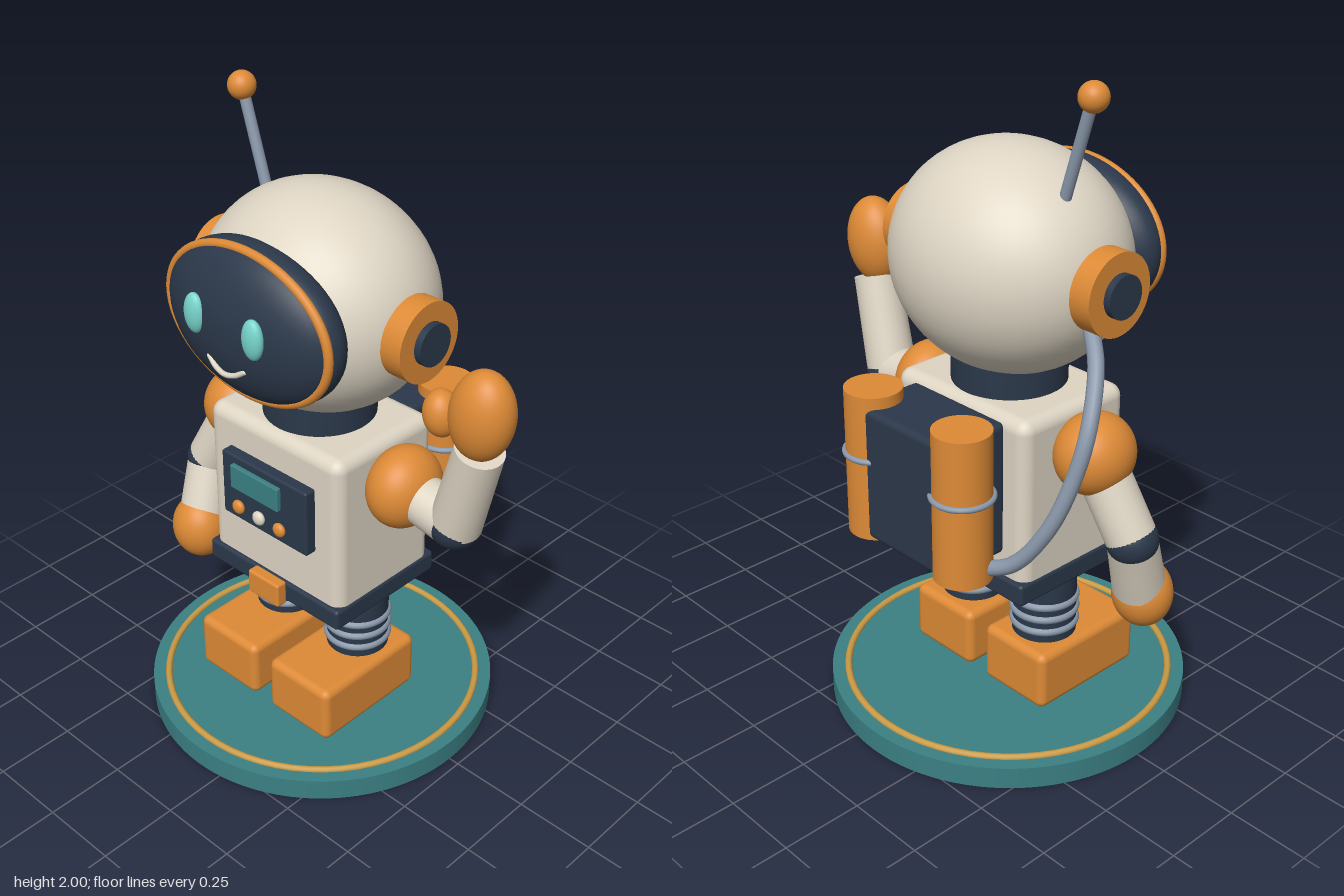
import * as THREE from 'three';
import { RoundedBoxGeometry } from 'three/addons/geometries/RoundedBoxGeometry.js';

const V = (x, y, z) => new THREE.Vector3(x, y, z);
const paint = (name, color) => {
  const m = new THREE.MeshStandardMaterial({ color });
  m.name = name;
  return m;
};

export function createModel() {
  const cream = paint('cream shell', 0xded5c4);
  const orange = paint('orange', 0xdd8a36);
  const navy = paint('dark navy', 0x2b384a);
  const teal = paint('teal', 0x3b8084);
  const steel = paint('blue grey metal', 0x8a98aa);
  const glow = paint('aqua glow', 0x76d3ca);
  const gold = paint('gold', 0xc99a45);

  const root = new THREE.Group();
  root.name = 'robot';
  const CX = -0.09; // the robot's own middle

  const add = (name, geo, mat, x = 0, y = 0, z = 0) => {
    const m = new THREE.Mesh(geo, mat);
    m.name = name;
    m.position.set(x, y, z);
    root.add(m);
    return m;
  };
  const box = (name, mat, w, h, d, r, x, y, z) =>
    add(name, new RoundedBoxGeometry(w, h, d, 4, r), mat, x, y, z);
  const ball = (name, mat, rx, ry, rz, x, y, z) => {
    const m = add(name, new THREE.SphereGeometry(1, 48, 32), mat, x, y, z);
    m.scale.set(rx, ry, rz);
    return m;
  };
  const cyl = (name, mat, r, h, x, y, z) =>
    add(name, new THREE.CylinderGeometry(r, r, h, 48), mat, x, y, z);
  const hoop = (name, mat, R, r, x, y, z) => {
    const m = add(name, new THREE.TorusGeometry(R, r, 12, 64), mat, x, y, z);
    m.rotation.x = Math.PI / 2;
    return m;
  };
  // cylinder between two points
  const limb = (name, mat, a, b, ra, rb = ra) => {
    const dir = b.clone().sub(a);
    const m = add(name, new THREE.CylinderGeometry(rb, ra, dir.length(), 32), mat);
    m.position.copy(a).add(b).multiplyScalar(0.5);
    m.quaternion.setFromUnitVectors(V(0, 1, 0), dir.normalize());
    return m;
  };
  const tube = (name, mat, pts, r, closed = false) =>
    add(name, new THREE.TubeGeometry(new THREE.CatmullRomCurve3(pts, closed), 96, r, 12, closed), mat);

  // Stand
  add('standDisc', new THREE.CylinderGeometry(0.556, 0.556, 0.07, 96), teal, CX, 0.035, 0);
  hoop('standRing', gold, 0.506, 0.011, CX, 0.071, 0);

  // Feet and ribbed legs
  for (const s of [-1, 1]) {
    const x = CX + s * 0.158;
    box('foot', orange, 0.254, 0.19, 0.41, 0.025, x, 0.171, 0.07);
    cyl('leg', navy, 0.098, 0.24, x, 0.36, 0);
    for (const y of [0.302, 0.345, 0.388]) hoop('legRing', steel, 0.094, 0.013, x, y, 0);
  }

  // Torso, belt and neck
  box('torso', cream, 0.545, 0.598, 0.412, 0.04, CX, 0.759, 0);
  box('belt', navy, 0.556, 0.07, 0.438, 0.012, CX, 0.515, 0);
  box('buckle', orange, 0.13, 0.082, 0.04, 0.008, CX, 0.517, 0.238);
  cyl('neck', navy, 0.172, 0.16, CX, 1.115, 0);

  // Chest panel
  box('chestPanel', navy, 0.355, 0.222, 0.05, 0.008, CX, 0.83, 0.218);
  box('chestScreen', teal, 0.2, 0.08, 0.02, 0.004, -0.117, 0.875, 0.248);
  [orange, cream, orange].forEach((mat, i) =>
    ball('button', mat, 0.023, 0.023, 0.014, -0.19 + i * 0.087, 0.772, 0.253));

  // Head and visor
  ball('head', cream, 0.372, 0.336, 0.326, CX, 1.433, 0);
  ball('visor', navy, 0.327, 0.235, 0.13, CX, 1.445, 0.25);
  const rim = [];
  for (let i = 0; i < 32; i++) {
    const a = (i / 32) * Math.PI * 2;
    rim.push(V(CX + 0.313 * Math.cos(a), 1.445 + 0.221 * Math.sin(a), 0.285));
  }
  tube('visorRim', orange, rim, 0.014, true);
  for (const s of [-1, 1]) ball('eye', glow, 0.037, 0.061, 0.024, CX + s * 0.115, 1.471, 0.37);
  const smile = [V(-0.16, 1.352, 0.363), V(-0.128, 1.332, 0.37), V(CX, 1.324, 0.374),
    V(-0.052, 1.332, 0.37), V(-0.02, 1.352, 0.363)];
  tube('mouth', cream, smile, 0.008);
  for (const p of [smile[0], smile[4]]) ball('mouthEnd', cream, 0.008, 0.008, 0.008, p.x, p.y, p.z);

  // Ears
  for (const s of [-1, 1]) {
    cyl('ear', orange, 0.12, 0.09, CX + s * 0.371, 1.43, 0).rotation.z = Math.PI / 2;
    cyl('earCap', navy, 0.063, 0.06, CX + s * 0.408, 1.43, 0).rotation.z = Math.PI / 2;
  }

  // Antenna
  limb('antennaRod', steel, V(-0.33, 1.64, -0.042), V(-0.43, 1.958, -0.042), 0.017);
  ball('antennaTip', orange, 0.042, 0.042, 0.042, -0.431, 1.957, -0.042);

  // Lowered right arm
  const rShoulder = V(-0.435, 0.933, 0), rElbow = V(-0.557, 0.69, 0.035), rWrist = V(-0.535, 0.5, 0.1);
  ball('rightShoulder', orange, 0.114, 0.122, 0.125, ...rShoulder);
  limb('rightUpperArm', cream, rShoulder, rElbow, 0.076);
  ball('rightElbow', navy, 0.077, 0.077, 0.077, ...rElbow);
  limb('rightForearm', cream, rElbow, rWrist, 0.074, 0.08);
  ball('rightHand', orange, 0.095, 0.108, 0.088, -0.533, 0.47, 0.118);

  // Raised, waving left arm
  const lShoulder = V(0.25, 0.93, 0), lElbow = V(0.446, 0.895, 0), lWrist = V(0.535, 1.19, 0.022);
  ball('leftShoulder', orange, 0.104, 0.127, 0.126, ...lShoulder);
  limb('leftUpperArm', cream, lShoulder, lElbow, 0.076);
  ball('leftElbow', navy, 0.077, 0.077, 0.08, ...lElbow);
  limb('leftForearm', cream, lElbow, lWrist, 0.078, 0.072);
  ball('leftHand', orange, 0.098, 0.138, 0.083, 0.541, 1.303, 0.028).rotation.z = -0.12;
  ball('leftThumb', orange, 0.052, 0.07, 0.054, 0.423, 1.275, 0.055).rotation.z = 0.15;

  // Backpack with two tanks
  box('backpack', navy, 0.38, 0.42, 0.235, 0.02, CX, 0.83, -0.313);
  for (const s of [-1, 1]) {
    cyl('tank', orange, 0.086, 0.46, CX + s * 0.187, 0.845, -0.36);
    hoop('tankBand', steel, 0.088, 0.009, CX + s * 0.187, 0.873, -0.36);
  }

  // Hose from ear to tank
  tube('hose', steel, [V(-0.44, 1.34, -0.04), V(-0.52, 1.26, -0.1), V(-0.578, 1.12, -0.185),
    V(-0.565, 0.97, -0.23), V(-0.515, 0.82, -0.27), V(-0.42, 0.69, -0.305),
    V(-0.31, 0.64, -0.335)], 0.023);

  return root;
}
